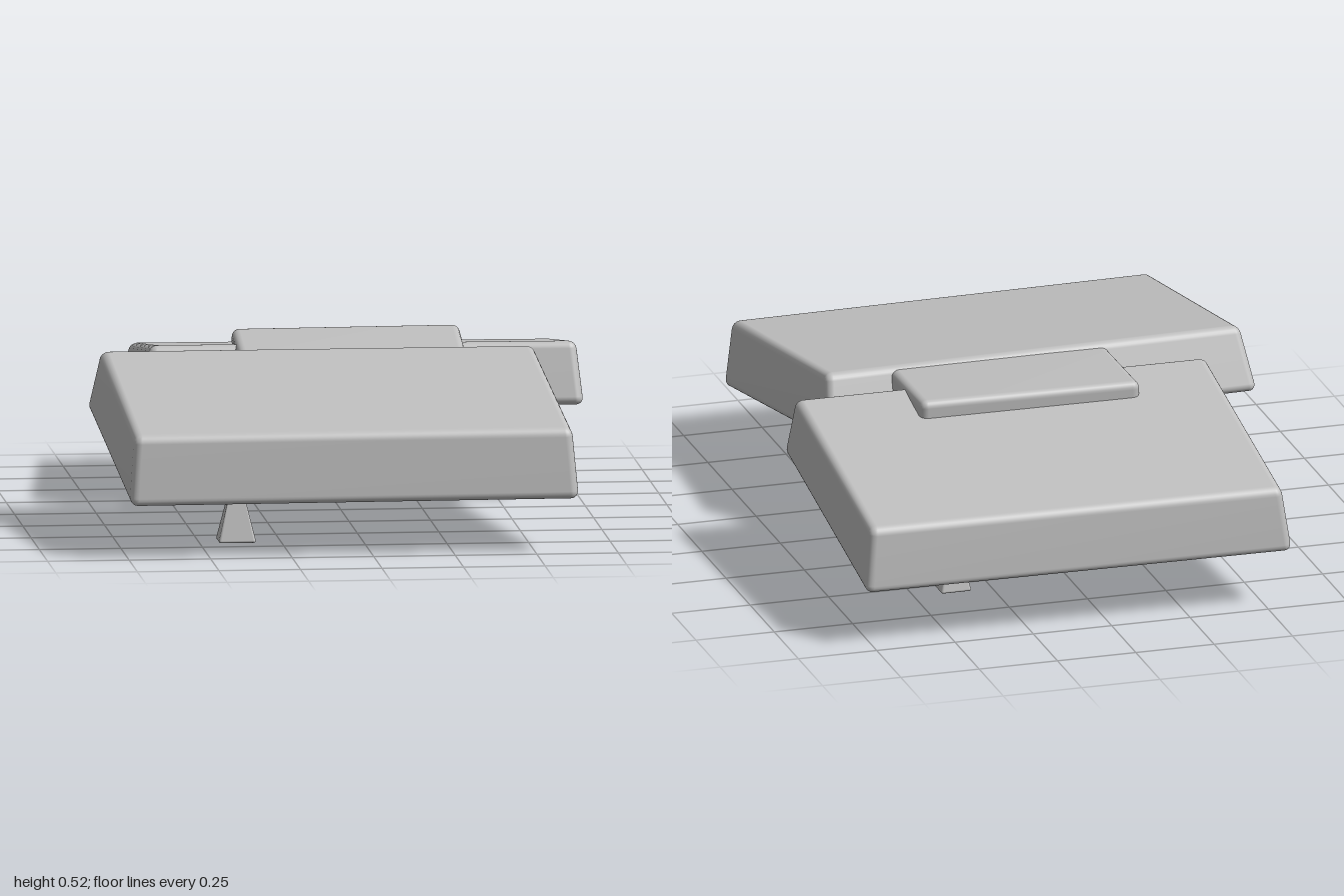
import * as THREE from 'three';
import { RoundedBoxGeometry } from 'three/addons/geometries/RoundedBoxGeometry.js';
import { mergeVertices } from 'three/addons/utils/BufferGeometryUtils.js';

// Rounded box bent onto eight corners: bottom then top,
// each as back left, back right, front left, front right (seen in +x order).
function skewedBlock(name, material, corners, radius) {
  const c = corners.map((p) => new THREE.Vector3(...p));
  const w = c[0].distanceTo(c[1]), h = c[0].distanceTo(c[4]), d = c[0].distanceTo(c[2]);
  let geo = new RoundedBoxGeometry(w, h, d, 3, radius);
  geo.deleteAttribute('normal');
  geo.deleteAttribute('uv');
  geo.clearGroups();
  geo = mergeVertices(geo, 1e-5);
  const pos = geo.attributes.position;
  for (let i = 0; i < pos.count; i++) {
    const u = pos.getX(i) / w + 0.5, v = pos.getY(i) / h + 0.5, t = pos.getZ(i) / d + 0.5;
    const p = new THREE.Vector3();
    c.forEach((corner, k) => {
      const weight = (k & 1 ? u : 1 - u) * (k & 2 ? t : 1 - t) * (k & 4 ? v : 1 - v);
      p.addScaledVector(corner, weight);
    });
    pos.setXYZ(i, p.x, p.y, p.z);
  }
  geo.computeVertexNormals();
  const mesh = new THREE.Mesh(geo, material);
  mesh.name = name;
  return mesh;
}

// Small four-sided foot tapering upward
function foot(name, material, x, z, y0, y1, halfX, halfZ) {
  const ring = (y, a, b) => [[x - a, y, z - b], [x + a, y, z - b], [x - a, y, z + b], [x + a, y, z + b]];
  return skewedBlock(name, material, [...ring(y0, halfX, halfZ), ...ring(y1, 0.015, 0.01)], 0.008);
}

export function createModel() {
  const group = new THREE.Group();
  group.name = 'slabs';
  const grey = new THREE.MeshStandardMaterial({ color: 0xc0c0c0 });
  grey.name = 'light grey';

  // Two large slabs leaning towards each other
  group.add(skewedBlock('frontSlab', grey, [
    [-0.78, 0.325, 0.01], [0.6, 0.315, -0.015], [-0.745, 0.16, 1.0], [0.635, 0.16, 0.97],
    [-0.745, 0.515, 0.085], [0.585, 0.51, 0.06], [-0.73, 0.378, 0.98], [0.615, 0.378, 0.95],
  ], 0.025));
  group.add(skewedBlock('rearSlab', grey, [
    [-0.58, 0.175, -1.0], [0.775, 0.172, -0.975], [-0.605, 0.31, -0.05], [0.75, 0.308, -0.035],
    [-0.55, 0.38, -0.985], [0.755, 0.378, -0.955], [-0.575, 0.5, -0.1], [0.73, 0.498, -0.085],
  ], 0.025));

  // Block joining them in the middle
  group.add(skewedBlock('connector', grey, [
    [-0.3, 0.275, -0.3], [0.39, 0.28, -0.295], [-0.32, 0.285, 0.25], [0.37, 0.285, 0.25],
    [-0.305, 0.52, -0.315], [0.395, 0.525, -0.305], [-0.325, 0.487, 0.22], [0.37, 0.487, 0.22],
  ], 0.025));

  // Feet under opposite corners
  group.add(foot('frontFoot', grey, -0.385, 0.63, 0, 0.18, 0.058, 0.05));
  group.add(foot('rearFoot', grey, 0.39, -0.62, 0.03, 0.175, 0.049, 0.041));
  return group;
}
